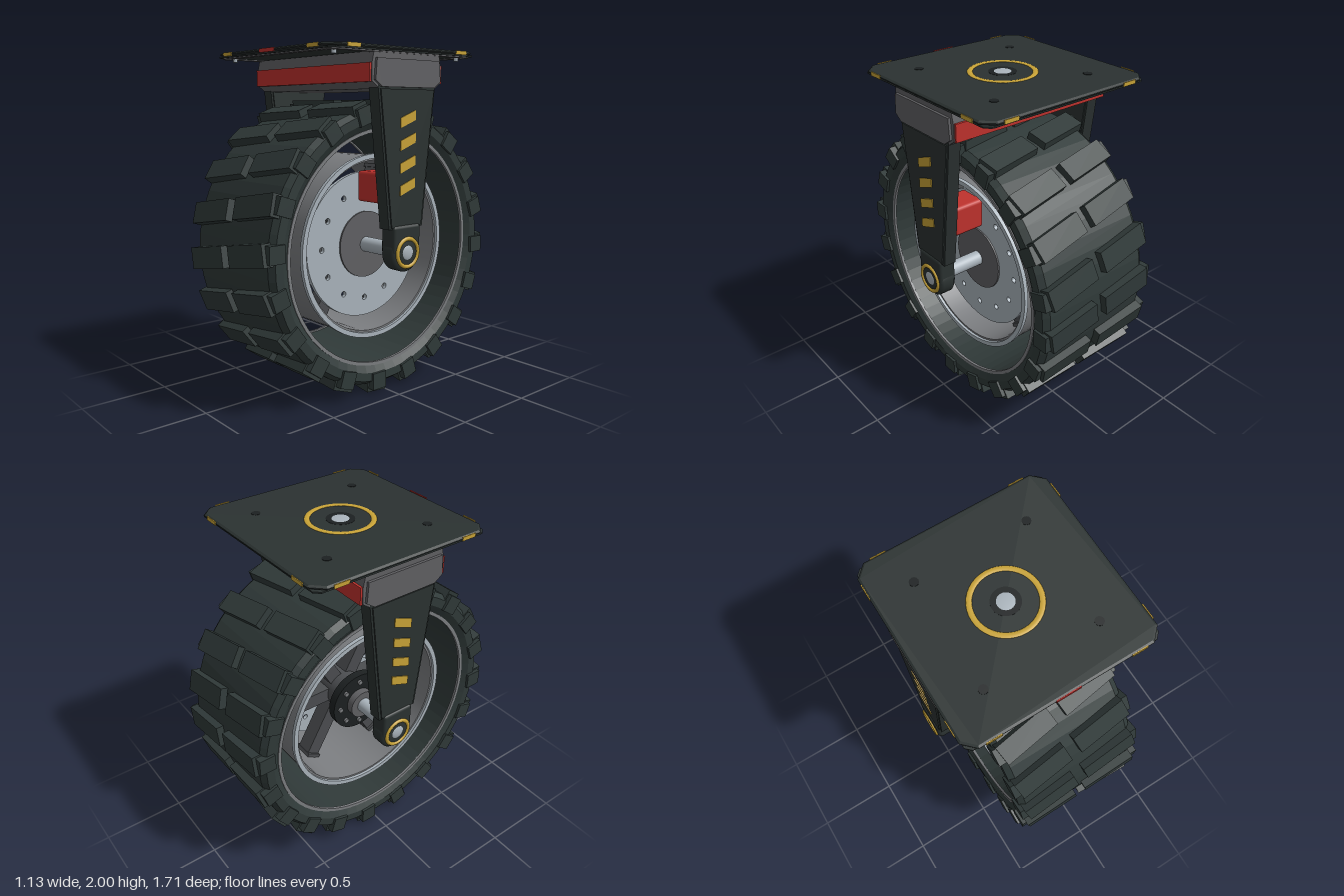
import * as THREE from 'three';
import { RoundedBoxGeometry } from 'three/addons/geometries/RoundedBoxGeometry.js';

const mat = (name, color, opts = {}) => new THREE.MeshStandardMaterial({ name, color, ...opts });
const M = {
  rubber: mat('tyre rubber', 0x303a39, { flatShading: true, side: THREE.DoubleSide }),
  dark: mat('dark painted steel', 0x2b3231),
  black: mat('black recess', 0x1c2021),
  grey: mat('grey steel', 0x616164, { side: THREE.DoubleSide }),
  spoke: mat('spoke grey', 0x4c4e51),
  rim: mat('rim grey', 0x7c7e81, { side: THREE.DoubleSide }),
  light: mat('light alloy', 0xabb5bd, { side: THREE.DoubleSide }),
  red: mat('red paint', 0xc0322d),
  yellow: mat('yellow paint', 0xcaa437),
};
const AXLE_Y = 0.86;

function add(parent, name, geo, material, x = 0, y = 0, z = 0) {
  const m = new THREE.Mesh(geo, material);
  m.name = name;
  m.position.set(x, y, z);
  parent.add(m);
  return m;
}
const box = (w, h, d) => new THREE.BoxGeometry(w, h, d);
// Cylinder and lathe lying along the x axis
const rod = (r, len, seg = 32) => new THREE.CylinderGeometry(r, r, len, seg).rotateZ(-Math.PI / 2);
const spin = (pts, seg = 64) =>
  new THREE.LatheGeometry(pts.map(p => new THREE.Vector2(...p)), seg).rotateZ(-Math.PI / 2);
// Closed rectangular ring around the x axis (separate flat walls keep edges sharp)
function band(parent, name, r0, r1, x0, x1, material) {
  const walls = [[[r1, x0], [r1, x1]], [[r1, x1], [r0, x1]], [[r0, x1], [r0, x0]], [[r0, x0], [r1, x0]]];
  walls.forEach(w => add(parent, name, spin(w), material));
}
const shapeOf = pts => new THREE.Shape(pts.map(p => new THREE.Vector2(...p)));
const octagon = (h, c) => [[h, -h + c], [h, h - c], [h - c, h], [-h + c, h], [-h, h - c], [-h, -h + c], [-h + c, -h], [h - c, -h]];
const extrude = (shape, depth, extra = {}) =>
  new THREE.ExtrudeGeometry(shape, { depth, bevelEnabled: false, curveSegments: 20, ...extra });
// Profile in (z, y), extruded along x and centred on it
const sideExtrude = (pts, depth) =>
  extrude(shapeOf(pts.map(([z, y]) => [-z, y])), depth).translate(0, 0, -depth / 2).rotateY(Math.PI / 2);

function makeTyre() {
  const g = new THREE.Group();
  g.name = 'tyre';
  add(g, 'tyreBody', spin([[0.69, -0.355], [0.74, -0.385], [0.79, -0.385], [0.815, -0.35], [0.815, 0.35],
    [0.79, 0.385], [0.74, 0.385], [0.69, 0.355], [0.69, -0.355]], 60), M.rubber);
  for (const s of [-1, 1]) band(g, 'beadRing', 0.68, 0.7, Math.min(s * 0.35, s * 0.366), Math.max(s * 0.35, s * 0.366), M.rim);
  // Slanted tread blocks in two rows, with shoulder blocks at their outer ends
  const lug = box(0.34, 0.125, 0.07), shoulder = box(0.045, 0.1, 0.1);
  const n = 20, slope = 0.17;
  for (let i = 0; i < n; i++) {
    const step = new THREE.Group();
    step.name = 'treadStep';
    step.rotation.x = (i / n) * Math.PI * 2;
    for (const s of [-1, 1]) {
      add(step, 'treadBlock', lug, M.rubber, s * 0.2, s * 0.2 * slope, 0.822).rotation.z = slope;
      add(step, 'shoulderBlock', shoulder, M.rubber, s * 0.378, s * 0.378 * slope, 0.785);
    }
    g.add(step);
  }
  return g;
}

function makeRim() {
  const g = new THREE.Group();
  g.name = 'rim';
  band(g, 'rimBarrel', 0.51, 0.54, -0.28, 0.28, M.rim);
  for (const s of [-1, 1]) band(g, 'rimLip', 0.522, 0.55, s * 0.285 - 0.012, s * 0.285 + 0.012, M.light);
  // Spokes
  for (let i = 0; i < 6; i++) {
    const a = (i * Math.PI) / 3;
    const p = new THREE.Group();
    p.name = 'spoke';
    p.rotation.x = a;
    add(p, 'spokeBar', box(0.1, 0.09, 0.42), M.spoke, 0.02, 0, 0.31);
    add(p, 'spokeFoot', box(0.13, 0.1, 0.03), M.spoke, 0.02, 0, 0.5);
    g.add(p);
  }
  // Brake disc with twelve through holes
  const disc = new THREE.Shape().absarc(0, 0, 0.44, 0, Math.PI * 2, false);
  for (let i = 0; i < 12; i++) {
    const a = (i * Math.PI) / 6;
    disc.holes.push(new THREE.Path().absarc(0.33 * Math.cos(a), 0.33 * Math.sin(a), 0.017, 0, Math.PI * 2, true));
  }
  add(g, 'brakeDisc', extrude(disc, 0.025, { curveSegments: 48 }).rotateY(Math.PI / 2), M.light, 0.165);
  // Hub, flanges and flange bolts
  add(g, 'hubFace', rod(0.2, 0.02, 48), M.grey, 0.19);
  add(g, 'hubCore', rod(0.12, 0.34), M.spoke, 0.0);
  add(g, 'hubFlange', rod(0.19, 0.05, 40), M.black, -0.165);
  add(g, 'hubCollar', rod(0.09, 0.05), M.grey, -0.21);
  for (let i = 0; i < 8; i++) {
    const a = (i * Math.PI) / 4;
    add(g, 'hubBolt', rod(0.016, 0.02, 6), M.rim, -0.195, 0.145 * Math.cos(a), 0.145 * Math.sin(a));
  }
  add(g, 'axle', rod(0.045, 1.06), M.light);
  return g;
}

function makeFork(s) {
  const g = new THREE.Group();
  g.name = s > 0 ? 'leftFork' : 'rightFork';
  add(g, 'forkLeg', sideExtrude([[-0.13, 1.0], [0.13, 1.0], [0.22, 1.79], [-0.22, 1.79]], 0.075), M.dark, s * 0.498);
  add(g, 'forkLegPlate', sideExtrude([[-0.115, 1.01], [0.115, 1.01], [0.205, 1.77], [-0.205, 1.77]], 0.09), M.dark, s * 0.498);
  // Axle boss with rounded edges
  add(g, 'axleBoss', spin([[0, -0.057], [0.09, -0.057], [0.112, -0.035], [0.112, 0.035], [0.09, 0.057], [0, 0.057]], 32), M.dark, s * 0.498, AXLE_Y);
  add(g, 'bossNeck', new RoundedBoxGeometry(0.11, 0.17, 0.21, 2, 0.02), M.dark, s * 0.498, 0.935);
  add(g, 'bossRing', new THREE.TorusGeometry(0.08, 0.013, 8, 32).rotateY(Math.PI / 2), M.yellow, s * 0.551, AXLE_Y);
  const cap = add(g, 'axleCap', new THREE.SphereGeometry(0.05, 20, 12), M.light, s * 0.545, AXLE_Y);
  cap.scale.x = 0.35;
  // Slanted warning stripes
  for (let i = 0; i < 4; i++) {
    const y = 1.235 + i * 0.125;
    add(g, 'legStripe', sideExtrude([[-0.058, y - 0.007], [0.058, y - 0.05], [0.058, y + 0.005], [-0.058, y + 0.048]], 0.006), M.yellow, s * 0.545);
  }
  return g;
}

function makeMount() {
  const g = new THREE.Group();
  g.name = 'mount';
  // Yoke beam with sloping ends, and red panels front and back
  add(g, 'yoke', sideExtrude([[-0.21, 1.77], [0.21, 1.77], [0.265, 1.81], [0.265, 1.9], [0.25, 1.965], [-0.25, 1.965], [-0.265, 1.9], [-0.265, 1.81]], 1.07), M.grey);
  for (const s of [-1, 1]) {
    add(g, 'yokeCheek', sideExtrude([[-0.2, 1.78], [0.2, 1.78], [0.25, 1.815], [0.24, 1.93], [-0.24, 1.93], [-0.25, 1.815]], 0.02), M.grey, s * 0.54);
    add(g, 'redPanel', box(1.06, 0.1, 0.016), M.red, 0, 1.855, s * 0.269);
  }
  // Top plate: bevelled slab over a thinner sheet
  const flat = geo => geo.rotateX(-Math.PI / 2);
  add(g, 'topPlate', flat(extrude(shapeOf(octagon(0.548, 0.06)), 0.006, { bevelEnabled: true, bevelSize: 0.012, bevelThickness: 0.008, bevelSegments: 1 })), M.dark, 0, 1.982);
  add(g, 'plateSheet', flat(extrude(shapeOf(octagon(0.55, 0.03)), 0.008)), M.dark, 0, 1.967);
  const frame = shapeOf(octagon(0.54, 0.04));
  frame.holes.push(shapeOf(octagon(0.5, 0.03)));
  add(g, 'underFrame', flat(extrude(frame, 0.008)), M.grey, 0, 1.96);
  // Edge markings
  for (const a of [-1, 1]) for (const b of [-1, 1]) {
    add(g, 'edgeMark', box(0.09, 0.022, 0.006), M.yellow, a * 0.41, 1.985, b * 0.56);
    add(g, 'edgeMark', box(0.006, 0.022, 0.09), M.yellow, b * 0.56, 1.985, a * 0.41);
    add(g, 'plateBolt', new THREE.CylinderGeometry(0.026, 0.026, 0.006, 12), M.black, a * 0.33, 1.995, b * 0.33);
    add(g, 'underBolt', new THREE.CylinderGeometry(0.014, 0.014, 0.02, 8), M.light, a * 0.47, 1.953, b * 0.47);
  }
  add(g, 'frontMark', box(0.14, 0.022, 0.006), M.red, 0, 1.985, 0.56);
  // Swivel pivot
  const ring = new THREE.TorusGeometry(0.182, 0.017, 8, 40).rotateX(Math.PI / 2).scale(1, 0.3, 1);
  add(g, 'pivotRing', ring, M.yellow, 0, 1.995);
  add(g, 'pivotRecess', new THREE.CylinderGeometry(0.08, 0.08, 0.004, 32), M.black, 0, 1.995);
  add(g, 'pivotCap', new THREE.SphereGeometry(0.07, 24, 12).scale(1, 0.14, 1), M.light, 0, 1.99);
  return g;
}

export function createModel() {
  const model = new THREE.Group();
  model.name = 'casterWheel';
  const wheel = new THREE.Group();
  wheel.name = 'wheel';
  wheel.position.y = AXLE_Y;
  wheel.add(makeTyre(), makeRim());
  model.add(wheel, makeFork(1), makeFork(-1), makeMount());
  // Brake caliper over the disc
  add(model, 'caliper', new RoundedBoxGeometry(0.2, 0.18, 0.18, 2, 0.02), M.red, 0.32, 1.22);
  add(model, 'caliperCap', new RoundedBoxGeometry(0.05, 0.14, 0.13, 2, 0.02), M.red, 0.42, 1.22);
  return model;
}
